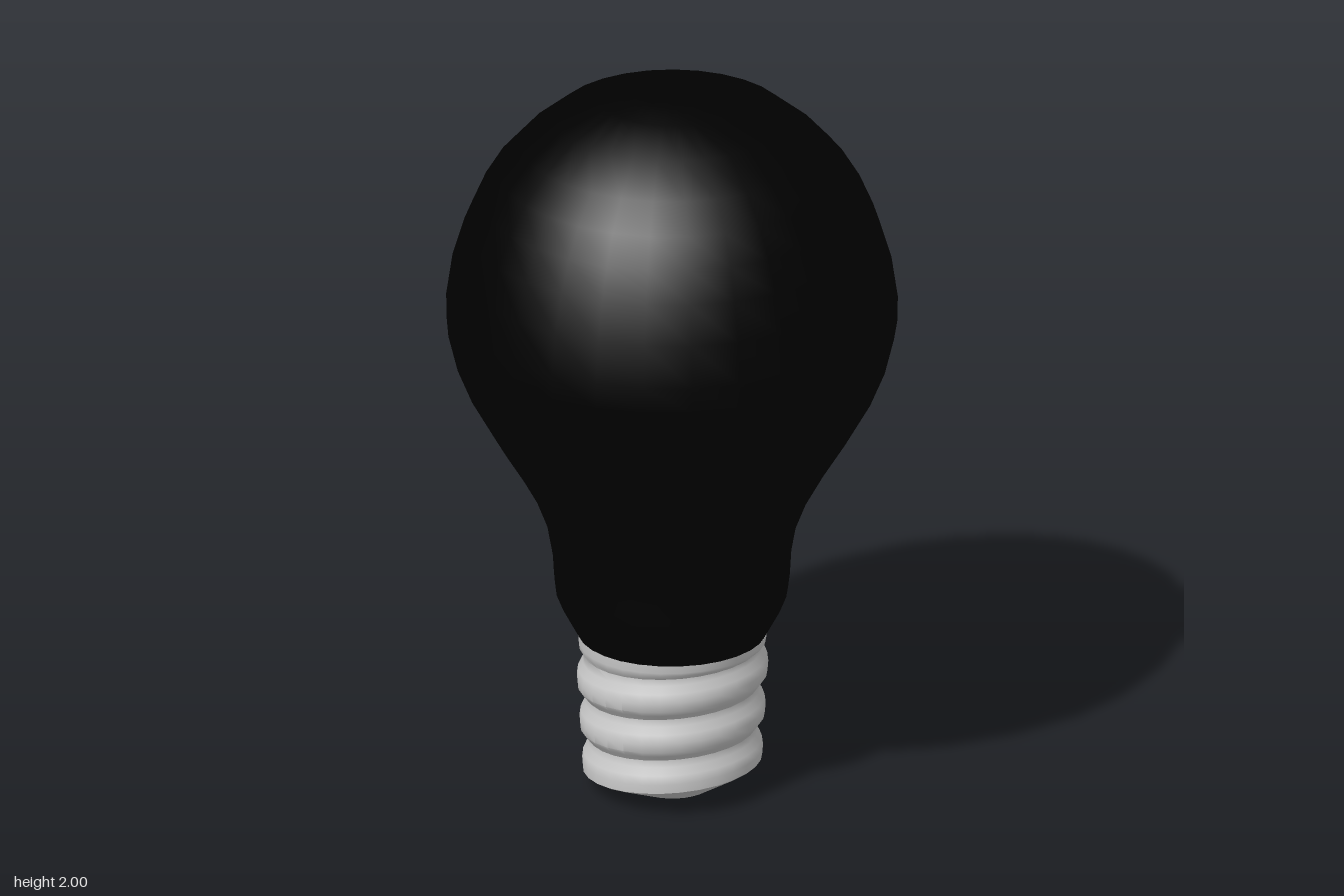
import * as THREE from 'three';
import { toCreasedNormals } from 'three/addons/utils/BufferGeometryUtils.js';

const SEGMENTS = 29;

// Revolve [radius, height] pairs, listed bottom to top, with a corner on +x
const lathe = (pairs) => new THREE.LatheGeometry(
  pairs.map(([r, y]) => new THREE.Vector2(r, y)), SEGMENTS, Math.PI / 2);

export function createModel() {
  const model = new THREE.Group();

  // Glass envelope: narrow neck swelling into a round crown
  const glass = new THREE.Mesh(
    lathe([
      [0.25, 0.44], [0.29, 0.515], [0.308, 0.56], [0.313, 0.6], [0.317, 0.67],
      [0.333, 0.76], [0.36, 0.83], [0.407, 0.915], [0.466, 1.01], [0.534, 1.13],
      [0.573, 1.225], [0.598, 1.326], [0.599, 1.395], [0.582, 1.51], [0.55, 1.615],
      [0.513, 1.7], [0.466, 1.777], [0.4, 1.85], [0.307, 1.926], [0.185, 1.976],
      [0.095, 1.994], [0, 2],
    ]),
    new THREE.MeshStandardMaterial({ color: 0x000000 }));
  glass.name = 'glassBulb';
  glass.position.x = -0.002;
  model.add(glass);

  // Screw base: open tapered foot, three rounded threads, plain collar
  const profile = [[0.105, 0], [0.23, 0.06]];
  for (let i = 0; i < 3; i++) {
    const y = 0.09 + i * 0.12;
    const r = 0.24 + i * 0.007;
    profile.push([r - 0.002, y - 0.025], [r, y], [r - 0.003, y + 0.025],
      [r - 0.016, y + 0.045], [r - 0.017, y + 0.065], [r - 0.006, y + 0.08]);
  }
  profile.push([0.25, 0.42], [0.252, 0.445]);
  const screw = lathe(profile);

  // Tilt the threads towards +x while the foot and the collar stay level
  const p = screw.attributes.position;
  for (let i = 0; i < p.count; i++) {
    const y = p.getY(i);
    const tilt = 0.085 * Math.min(1, y / 0.05, Math.max(0, (0.44 - y) / 0.06));
    p.setY(i, y + tilt * p.getX(i));
  }
  const base = new THREE.Mesh(
    toCreasedNormals(screw, 0.6),
    new THREE.MeshStandardMaterial({ color: 0xcccccc, side: THREE.DoubleSide }));
  base.name = 'screwBase';
  model.add(base);

  return model;
}
